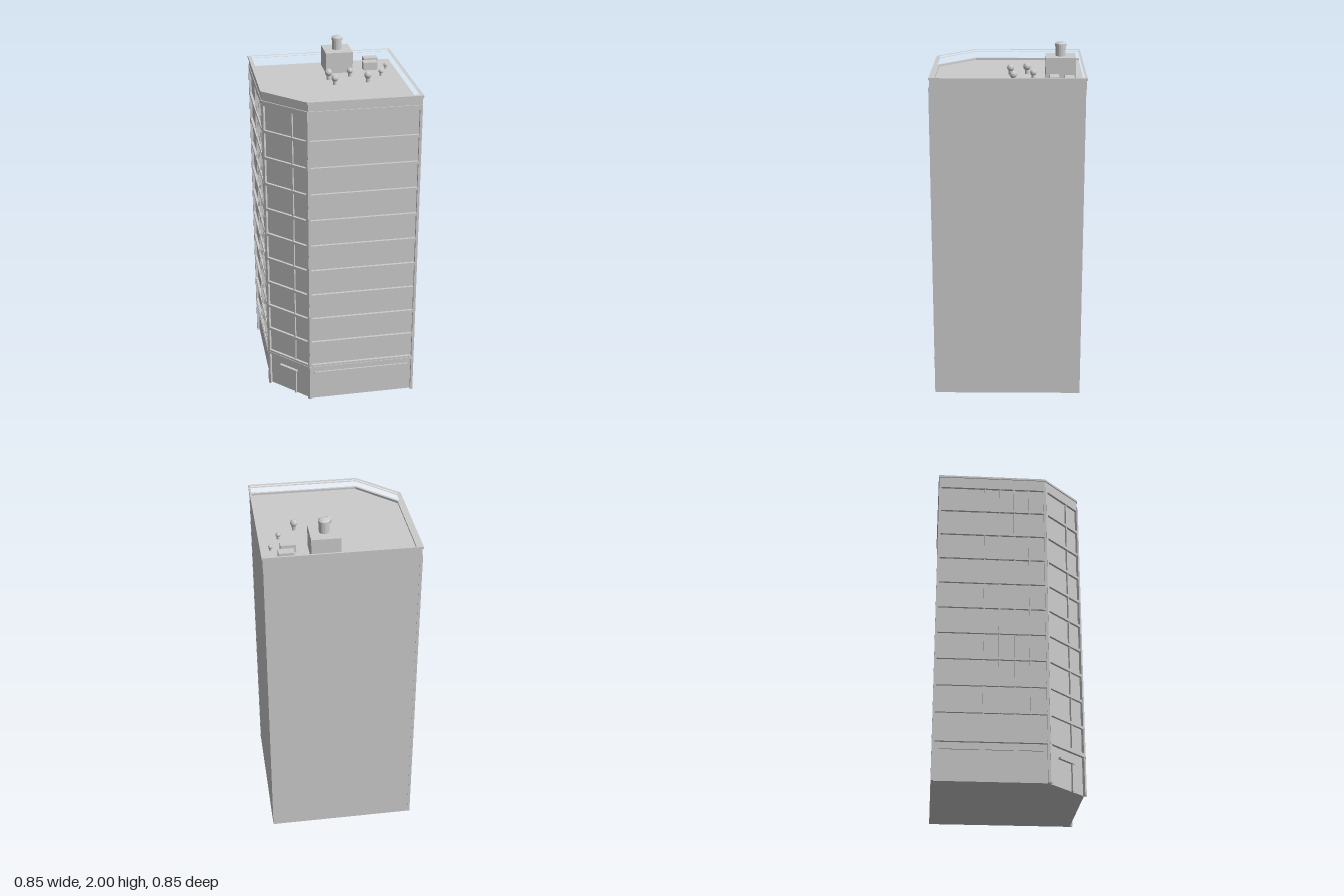
import * as THREE from 'three';

const grey = new THREE.MeshStandardMaterial({ color: 0xcccccc });
grey.name = 'concrete grey';

function add(parent, name, geometry, x = 0, y = 0, z = 0) {
  const mesh = new THREE.Mesh(geometry, grey);
  mesh.name = name;
  mesh.position.set(x, y, z);
  parent.add(mesh);
  return mesh;
}

// Points are [x, z] pairs on the ground plan
const outline = (pts) => pts.map(([x, z]) => new THREE.Vector2(x, -z));

function prism(points, height, hole) {
  const shape = new THREE.Shape(outline(points));
  if (hole) shape.holes.push(new THREE.Path(outline(hole)));
  const g = new THREE.ExtrudeGeometry(shape, { depth: height, bevelEnabled: false });
  return g.rotateX(-Math.PI / 2);
}

// Square plan with the front corner cut off at 45 degrees
const plan = (left, right, back, front, cut) => [
  [left, back], [right, back], [right, front], [front - cut, front], [left, left + cut],
];

const FLOORS = 10, BASE = 0.23, STOREY = 0.156;

// One framed facade: local x runs along the wall, local z points outward
function facade(name, from, to, mullions) {
  const [x0, z0] = from, [x1, z1] = to;
  const length = Math.hypot(x1 - x0, z1 - z0);
  const wall = new THREE.Group();
  wall.name = name;
  wall.position.set(x0, 0, z0);
  wall.rotation.y = Math.atan2(z0 - z1, x1 - x0);
  const bar = (part, xa, xb, ya, yb, proud = 0) => {
    const depth = 0.014 + proud;
    add(wall, part, new THREE.BoxGeometry(xb - xa, yb - ya, depth),
      (xa + xb) / 2, (ya + yb) / 2, proud - depth / 2);
  };
  // corner posts
  bar('cornerPost', 0, 0.014, 0, 1.81, 0.001);
  bar('cornerPost', length - 0.014, length, 0, 1.81, 0.001);
  // floor beams
  for (let i = 0; i <= FLOORS; i++) {
    const y = BASE + i * STOREY;
    bar('floorBeam', 0.014, length - 0.014, y - 0.008, y + 0.008);
  }
  bar('topFascia', 0.014, length - 0.014, 1.79, 1.81);
  // window mullions
  for (const m of mullions) bar('mullion', m - 0.004, m + 0.004, BASE, 1.79, -0.004);
  // ledge above the ground floor
  bar('groundLedge', 0, length, 0.214, 0.226, 0.003);
  wall.userData.length = length;
  return { wall, bar, length };
}

export function createModel() {
  const model = new THREE.Group();
  model.name = 'officeTower';

  // main block, roof slab at 1.80
  add(model, 'mainBlock', prism(plan(-0.408, 0.416, -0.418, 0.408, 0.603), 1.80));

  // parapet and its thin cap
  const inner = plan(-0.403, 0.411, -0.414, 0.401, 0.600);
  add(model, 'parapet', prism(plan(-0.419, 0.418, -0.42, 0.417, 0.618), 0.05, inner), 0, 1.80);
  add(model, 'parapetCap', prism(plan(-0.424, 0.422, -0.424, 0.421, 0.626), 0.012, inner), 0, 1.85);

  // street front: plain panels and a long ground floor sign strip
  const front = facade('frontFacade', [-0.205, 0.422], [0.417, 0.422], []);
  front.bar('signStrip', 0.03, front.length - 0.03, 0.174, 0.182, -0.006);
  // cut corner with the entrance
  const corner = facade('cornerFacade', [-0.422, 0.205], [-0.205, 0.422], [0.197]);
  corner.bar('doorCanopy', 0.085, 0.21, 0.152, 0.162, 0.002);
  corner.bar('doorPost', 0.193, 0.201, 0, 0.152, -0.004);
  // side: one wide bay and four narrow ones
  const side = facade('sideFacade', [-0.422, -0.42], [-0.422, 0.205], [0.27, 0.355, 0.44, 0.525]);
  for (const [a, b] of [[0.04, 0.25], [0.28, 0.43], [0.46, 0.59]]) {
    side.bar('signStrip', a, b, 0.174, 0.182, -0.006);
  }
  model.add(front.wall, corner.wall, side.wall);

  // rooftop plant room with a domed flue
  add(model, 'plantRoom', new THREE.BoxGeometry(0.157, 0.12, 0.166), 0.081, 1.86, -0.291);
  const flue = [[0, 1.91], [0.028, 1.91], [0.028, 1.975], [0.032, 1.975], [0.032, 1.988], [0.022, 1.996], [0, 2.0]];
  const flueMesh = add(model, 'flue',
    new THREE.LatheGeometry(flue.map(([r, y]) => new THREE.Vector2(r, y)), 16).toNonIndexed(), 0.081, 0, -0.291);
  flueMesh.geometry.computeVertexNormals();

  // air conditioning units
  for (const [x, z] of [[0.287, -0.334], [0.269, -0.253]]) {
    add(model, 'airUnit', new THREE.BoxGeometry(0.083, 0.045, 0.051), x, 1.8225, z);
  }

  // ball-topped roof vents: x, z, radius
  const vents = [
    [0, -0.105, 0.022], [0.019, -0.012, 0.02], [0.129, -0.139, 0.018],
    [0.211, -0.028, 0.021], [0.307, -0.122, 0.014], [0.36, -0.24, 0.012],
  ];
  for (const [x, z, r] of vents) {
    const vent = new THREE.Group();
    vent.name = 'roofVent';
    vent.position.set(x, 1.80, z);
    const stem = 1.5 * r;
    add(vent, 'ventStem', new THREE.CylinderGeometry(r * 0.55, r * 0.55, stem, 8), 0, stem / 2, 0);
    add(vent, 'ventBall', new THREE.IcosahedronGeometry(r, 1), 0, stem + r * 0.4, 0);
    model.add(vent);
  }
  return model;
}
